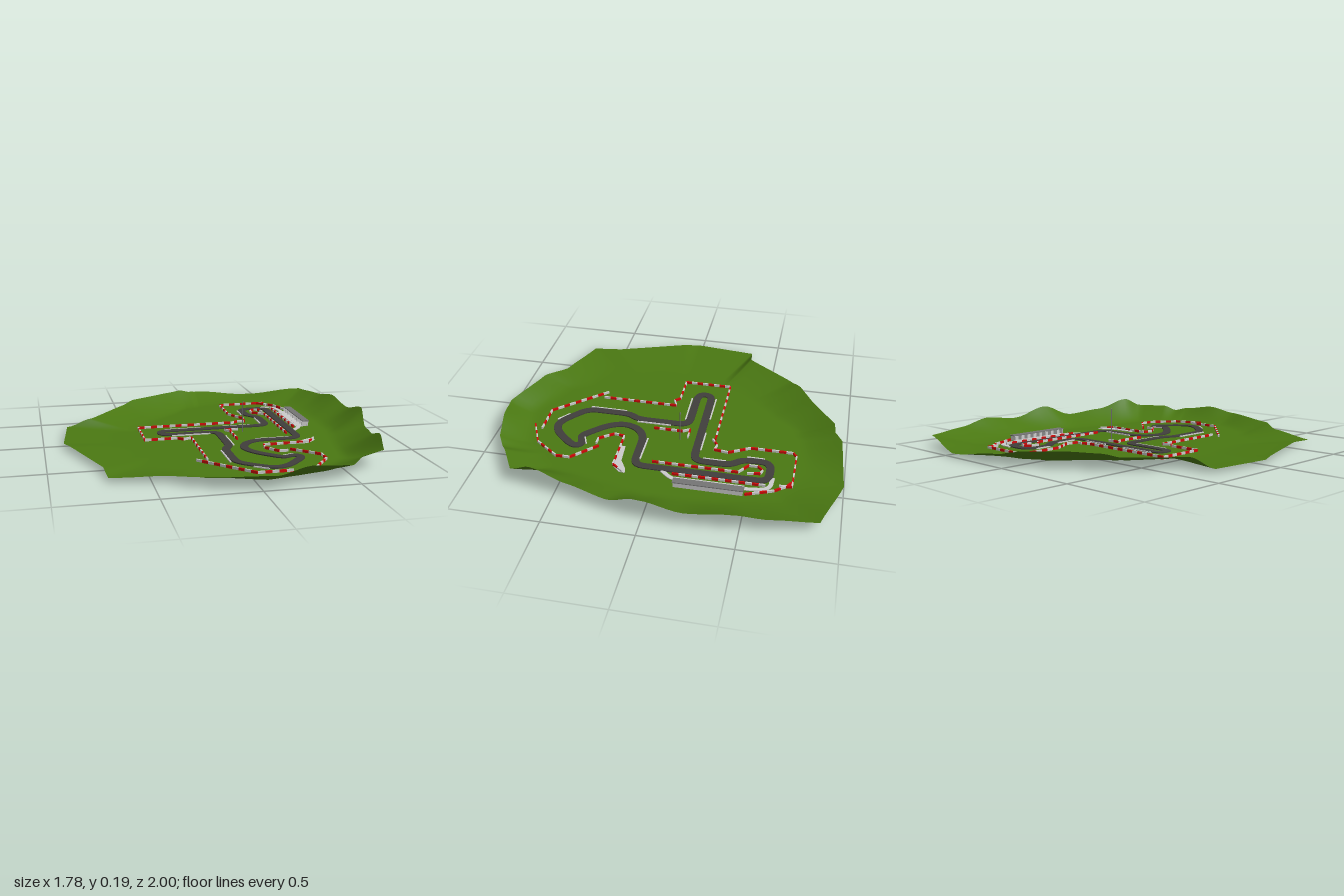
import * as THREE from 'three';
import { mergeGeometries } from 'three/addons/utils/BufferGeometryUtils.js';

const BASE = 0.006;
const mat = (color, flat = true) =>
  new THREE.MeshStandardMaterial({ color, flatShading: flat, side: THREE.DoubleSide });

function build(positions, index) {
  const g = new THREE.BufferGeometry();
  g.setAttribute('position', new THREE.Float32BufferAttribute(positions, 3));
  g.setIndex(index);
  g.computeVertexNormals();
  return g;
}

// Replaces the corners of a path [x, z] by short curves
function rounded(pts, closed, radius = 0.06) {
  const P = pts.map(p => new THREE.Vector2(p[0], p[1])), n = P.length, out = [];
  for (let i = 0; i < n; i++) {
    if (!closed && (i === 0 || i === n - 1)) { out.push(P[i]); continue; }
    const a = P[(i + n - 1) % n], b = P[i], c = P[(i + 1) % n];
    const cut = q => b.clone().lerp(q, Math.min(radius, b.distanceTo(q) * 0.48) / b.distanceTo(q));
    out.push(...new THREE.QuadraticBezierCurve(cut(a), b, cut(c)).getPoints(5));
  }
  return out;
}

// Flat slab of constant width that follows a path
function slab(pts, width, y0, y1, closed = false) {
  const pos = [], idx = [], n = pts.length;
  pts.forEach((p, i) => {
    const a = pts[closed ? (i + n - 1) % n : Math.max(i - 1, 0)];
    const b = pts[closed ? (i + 1) % n : Math.min(i + 1, n - 1)];
    const t = b.clone().sub(a).normalize().multiplyScalar(width / 2);
    for (const [s, y] of [[-1, y1], [1, y1], [1, y0], [-1, y0]])
      pos.push(p.x - t.y * s, y, p.y + t.x * s);
  });
  for (let i = 0; i < (closed ? n : n - 1); i++) {
    const j = (i + 1) % n;
    for (let k = 0; k < 4; k++) {
      const l = (k + 1) % 4;
      idx.push(i * 4 + k, i * 4 + l, j * 4 + l, i * 4 + k, j * 4 + l, j * 4 + k);
    }
  }
  if (!closed) {
    const e = (n - 1) * 4;
    idx.push(0, 3, 2, 0, 2, 1, e, e + 1, e + 2, e, e + 2, e + 3);
  }
  return build(pos, idx);
}

// Box turned to run between two ground points
function bar(a, b, width, y0, y1) {
  const g = new THREE.BoxGeometry(a.distanceTo(b), y1 - y0, width);
  g.rotateY(-Math.atan2(b.y - a.y, b.x - a.x));
  return g.translate((a.x + b.x) / 2, (y0 + y1) / 2, (a.y + b.y) / 2);
}

// Land: rim points [x, z, height, where the slope starts], with the inside flat
const RIM = [
  [0.07, -0.97, 0.06, 0.78], [0.43, -1, 0.02, 0.8], [0.795, -0.895, 0.065, 0.75],
  [0.84, -0.66, 0.08, 0.75], [0.88, -0.45, 0.11, 0.76], [0.885, -0.22, 0.085, 0.77],
  [0.89, 0.02, 0.135, 0.77], [0.84, 0.2, 0.07, 0.77], [0.785, 0.415, 0.09, 0.78],
  [0.75, 0.63, 0.14, 0.78], [0.72, 0.755, 0.09, 0.78], [0.57, 0.84, 0.09, 0.8],
  [0.5, 0.885, 0.062, 0.82], [0.43, 0.925, 0.078, 0.84], [0.25, 0.965, 0.1, 0.85],
  [0.07, 0.995, 0.07, 0.85], [-0.27, 0.895, 0.055, 0.8], [-0.4, 0.79, 0.04, 0.75],
  [-0.71, 0.695, 0.022, 0.7], [-0.72, 0.53, 0.028, 0.62], [-0.86, 0.12, 0.03, 0.58],
  [-0.89, 0.02, 0.022, 0.58], [-0.85, -0.34, 0.022, 0.6], [-0.7, -0.355, 0.064, 0.62],
  [-0.49, -0.62, 0.069, 0.66], [-0.4, -0.695, 0.088, 0.68], [-0.245, -0.78, 0.09, 0.72],
  [-0.055, -0.92, 0.085, 0.78], [0.015, -0.93, 0.07, 0.78],
];
function landGeometry() {
  const edge = [], SUB = 6, RINGS = 32, pos = [0, BASE, 0], idx = [];
  RIM.forEach((a, i) => {
    const b = RIM[(i + 1) % RIM.length];
    for (let k = 0; k < SUB; k++) {
      const t = k / SUB, s = t * t * (3 - 2 * t);
      edge.push(a.map((v, c) => THREE.MathUtils.lerp(v, b[c], c < 2 ? t : s)));
    }
  });
  const n = edge.length;
  for (let r = 1; r <= RINGS; r++) {
    const f = r / RINGS;
    for (const [x, z, y, start] of edge) {
      const s = Math.max(0, (f - start) / (1 - start));
      pos.push(x * f, BASE + (y - BASE) * s ** 1.35, z * f);
    }
  }
  for (let i = 0; i < n; i++) {
    const j = (i + 1) % n;
    idx.push(0, 1 + j, 1 + i);
    for (let r = 0; r < RINGS - 1; r++) {
      const a = 1 + r * n + i, b = 1 + r * n + j;
      idx.push(a, b, b + n, a, b + n, a + n);
    }
  }
  return build(pos, idx);
}

const TRACK = [
  [0.455, 0.145], [0.455, -0.6], [0.29, -0.6], [0.29, -0.44], [0.35, -0.38], [0.35, -0.17],
  [-0.315, -0.165], [-0.315, -0.08], [0.02, -0.08], [0.02, 0.23], [-0.02, 0.28], [-0.02, 0.54],
  [0.11, 0.65], [0.17, 0.675], [0.24, 0.65], [0.35, 0.53], [0.335, 0.485], [0.29, 0.485],
  [0.25, 0.51], [0.12, 0.38], [0.085, 0.29], [0.115, 0.2], [0.19, 0.15],
];
const BARRIERS = [
  [[-0.16, 0.48], [-0.16, 0.03], [-0.21, 0.05], [-0.24, 0.02], [-0.43, 0.02], [-0.43, -0.26],
    [0.14, -0.26]],
  [[0.14, -0.245], [0.19, -0.28], [0.235, -0.27], [0.245, -0.35], [0.18, -0.47], [0.18, -0.71],
    [0.21, -0.73], [0.48, -0.73], [0.485, -0.66]],
  [[0.44, -0.73], [0.48, -0.7], [0.53, -0.64], [0.59, -0.49]],
  [[-0.22, 0.47], [0.04, 0.75], [0.23, 0.75]],
  [[0.2, 0.8], [0.36, 0.73], [0.465, 0.59], [0.465, 0.51], [0.33, 0.38]],
  [[0.31, 0.4], [0.26, 0.4], [0.2, 0.32], [0.21, 0.26], [0.48, 0.255], [0.53, 0.19]],
  [[0.095, 0.11], [0.095, -0.06], [0.07, -0.1], [0.15, -0.1]],
  [[0.41, 0.05], [0.41, -0.43], [0.34, -0.48], [0.34, -0.53], [0.37, -0.56], [0.4, -0.55], [0.41, -0.48]],
  [[0.495, -0.08], [0.495, -0.59]],
];
const KERBS = [
  [[-0.28, -0.195], [-0.06, -0.195]], [[0.08, -0.195], [0.25, -0.195]],
  [[-0.26, -0.05], [-0.03, -0.052]], [[0.047, 0.02], [0.047, 0.22]], [[-0.048, 0.31], [-0.048, 0.53]],
  [[0.05, 0.635], [0.12, 0.69]], [[0.322, -0.35], [0.322, -0.22]], [[0.262, -0.56], [0.262, -0.46]],
  [[0.26, 0.48], [0.32, 0.456]], [[0.2, 0.122], [0.4, 0.122]],
];

export function createModel() {
  const model = new THREE.Group();
  const add = (name, geo, material) => {
    const m = new THREE.Mesh(geo, material);
    m.name = name;
    model.add(m);
  };
  const vec = p => new THREE.Vector2(p[0], p[1]);
  const light = mat(0xcccccc), dark = mat(0x757575);

  add('land', landGeometry(), mat(0x4a7812, false));
  add('track', slab(rounded(TRACK, true), 0.045, 0.001, 0.012, true), mat(0x403e3c));
  add('kerbs', mergeGeometries(KERBS.map(k => bar(vec(k[0]), vec(k[1]), 0.008, 0.003, 0.0125))), light);

  // Pit lane with its apron
  const lane = [[0.42, -0.62], [0.52, -0.615], [0.54, -0.5], [0.54, -0.09], [0.475, -0.02]];
  add('pitLane', slab(rounded(lane, false), 0.024, 0.001, 0.011), light);
  add('pitApron', bar(vec([0.54, -0.48]), vec([0.54, -0.1]), 0.05, 0.001, 0.0105), light);

  // Pit building: back wall, dividing walls and roof
  const pit = [bar(vec([0.592, -0.48]), vec([0.592, -0.105]), 0.012, 0.002, 0.035)];
  for (let i = 0; i <= 8; i++) {
    const z = -0.477 + i * 0.046;
    pit.push(bar(vec([0.555, z]), vec([0.59, z]), 0.005, 0.002, 0.035));
  }
  add('pitWalls', mergeGeometries(pit), light);
  add('pitRoof', bar(vec([0.58, -0.485]), vec([0.58, -0.1]), 0.042, 0.035, 0.04), dark);

  // Gravel run-off
  const gravel = new THREE.Shape([[0.3, 0.26], [0.3, 0.23], [0.43, 0.22], [0.5, 0.18], [0.535, 0.175],
    [0.53, 0.21], [0.49, 0.25], [0.46, 0.265]].map(([x, z]) => new THREE.Vector2(x, -z)));
  const gravelGeo = new THREE.ExtrudeGeometry(gravel, { depth: 0.009, bevelEnabled: false });
  add('gravel', gravelGeo.rotateX(-Math.PI / 2).translate(0, 0.001, 0), light);

  // Barriers in alternating colours
  const blocks = [[], []];
  let count = 0;
  for (const line of BARRIERS)
    for (let i = 0; i < line.length - 1; i++) {
      const a = vec(line[i]), b = vec(line[i + 1]);
      const n = Math.max(1, Math.round(a.distanceTo(b) / 0.037));
      for (let k = 0; k < n; k++)
        blocks[count++ % 2].push(
          bar(a.clone().lerp(b, k / n), a.clone().lerp(b, (k + 1) / n), 0.009, 0, 0.02));
    }
  add('whiteBarriers', mergeGeometries(blocks[0]), light);
  add('redBarriers', mergeGeometries(blocks[1]), mat(0xd00808));

  // Mast
  add('mast', new THREE.CylinderGeometry(0.003, 0.003, 0.19, 8).translate(0.17, 0.1, -0.06), dark);
  return model;
}
